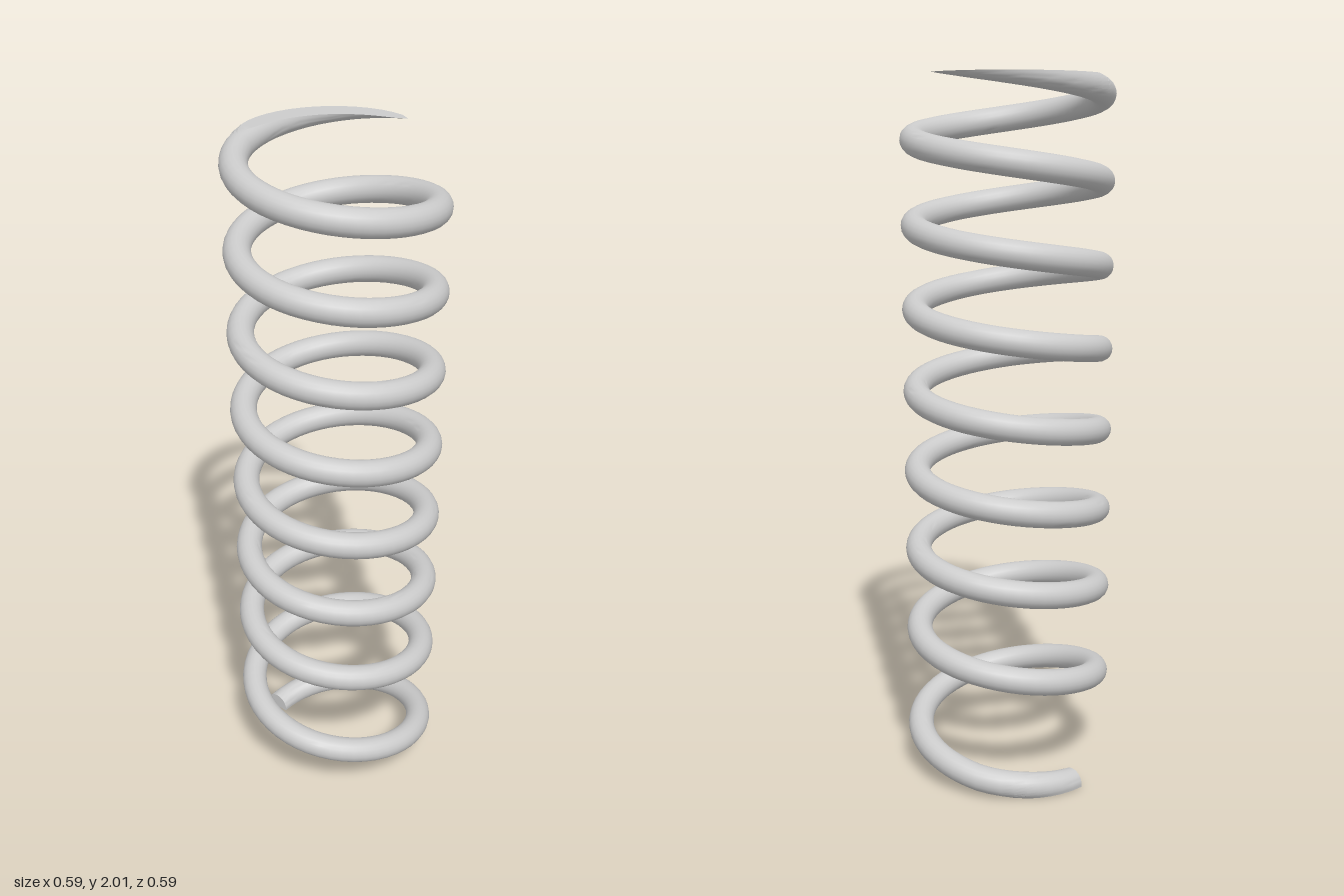
import * as THREE from 'three';
import { toCreasedNormals } from 'three/addons/utils/BufferGeometryUtils.js';

const COIL_RADIUS = 0.26;
const WIRE_RADIUS = 0.037;
const WIRE_HEIGHT = 0.0375; // half height of the slightly tilted wire section
const TOP = 2;
const ARC_STEPS = 10;       // steps on each half of the wire section
const START = THREE.MathUtils.degToRad(207);
const END = THREE.MathUtils.degToRad(270 + 8 * 360 + 40);
const SEGMENTS = 420;

// Height of the wire centre: constant pitch, opening up towards the bottom
function coilHeight(angle) {
  const quarter = (angle - 1.5 * Math.PI) / (Math.PI / 2);
  const opening = Math.min(Math.max(8 - quarter, 0), 8) / 8;
  return 0.62 + 0.0582 * (quarter - 8) - 0.105 * Math.pow(opening, 2.5);
}

// One wire section, ground flat wherever it would pass the floor or the top
function wireSection(angle) {
  const y = coilHeight(angle);
  const limit = (h) => Math.asin(THREE.MathUtils.clamp((h - y) / WIRE_HEIGHT, -1, 1));
  const low = limit(0);
  const high = limit(TOP);
  const points = [];
  for (const side of [1, -1]) {
    for (let k = 0; k <= ARC_STEPS; k++) {
      const t = k / ARC_STEPS;
      const a = side > 0 ? low + (high - low) * t : high + (low - high) * t;
      const r = COIL_RADIUS + side * WIRE_RADIUS * Math.cos(a);
      points.push([r * Math.cos(angle), y + WIRE_HEIGHT * Math.sin(a), r * Math.sin(angle)]);
    }
  }
  return points;
}

function springGeometry() {
  const positions = [];
  const indices = [];
  const n = 2 * (ARC_STEPS + 1);
  for (let i = 0; i <= SEGMENTS; i++) {
    const angle = START + ((END - START) * i) / SEGMENTS;
    for (const p of wireSection(angle)) positions.push(...p);
  }
  // Skin between neighbouring sections
  for (let i = 0; i < SEGMENTS; i++) {
    for (let j = 0; j < n; j++) {
      const a = i * n + j;
      const b = i * n + ((j + 1) % n);
      indices.push(a, b, a + n, b, b + n, a + n);
    }
  }
  // Caps on both wire ends
  const last = SEGMENTS * n;
  for (let j = 1; j < n - 1; j++) {
    indices.push(0, j + 1, j);
    indices.push(last, last + j, last + j + 1);
  }
  const geometry = new THREE.BufferGeometry();
  geometry.setAttribute('position', new THREE.Float32BufferAttribute(positions, 3));
  geometry.setIndex(indices);
  return toCreasedNormals(geometry, 0.5);
}

export function createModel() {
  const group = new THREE.Group();
  group.name = 'coilSpring';
  const wire = new THREE.Mesh(
    springGeometry(),
    new THREE.MeshStandardMaterial({ color: 0xcccccc })
  );
  wire.name = 'springWire';
  group.add(wire);
  return group;
}
